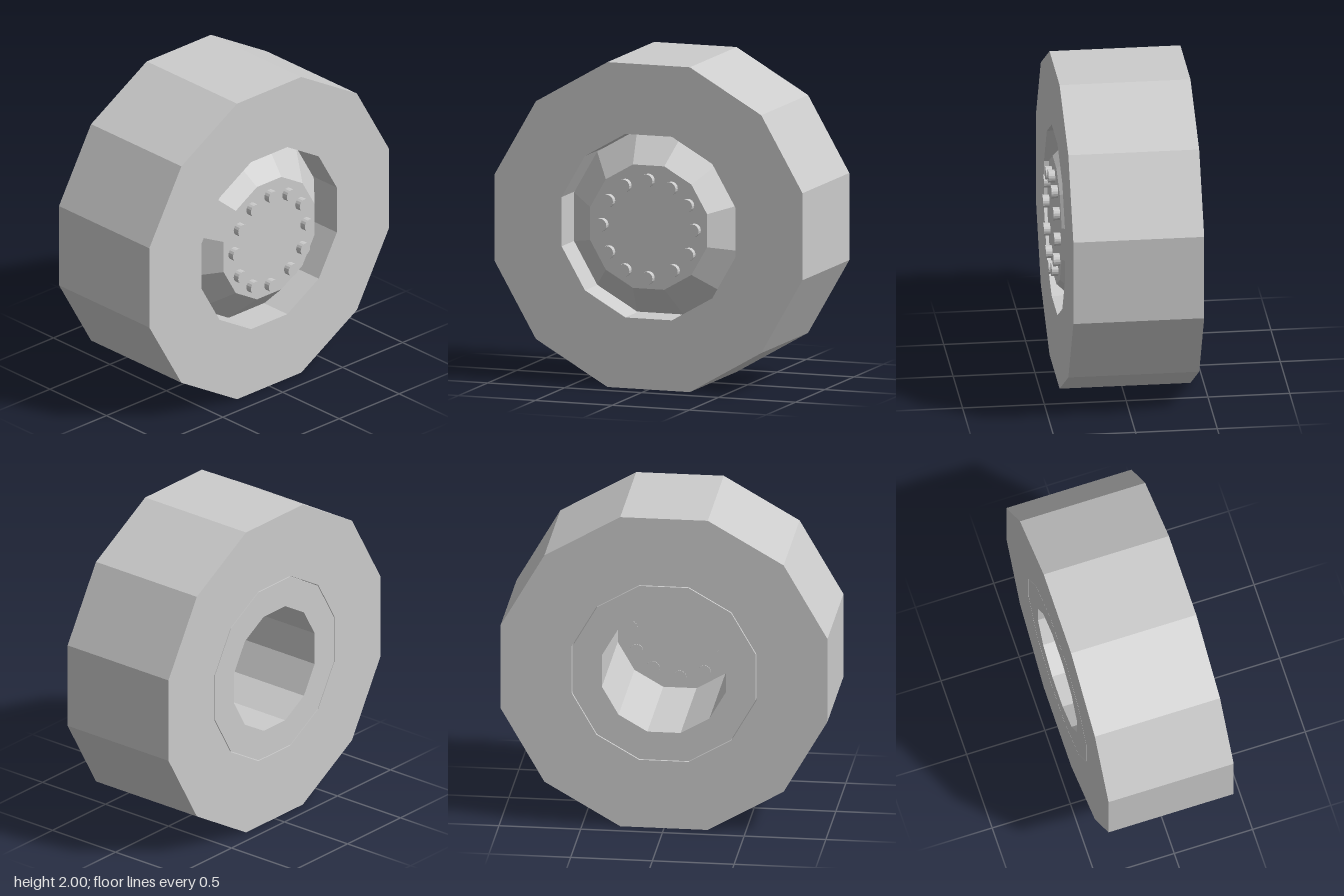
import * as THREE from 'three';

const SIDES = 12;
const FRONT = 0.38, BACK = -0.42;

const material = new THREE.MeshStandardMaterial({ color: 0xcccccc, flatShading: true });

// Twelve-sided ring around the x axis; points are [distance to flat, x]
function facetedLathe(name, points) {
  const k = 1 / Math.cos(Math.PI / SIDES);
  const profile = points.map(([r, x]) => new THREE.Vector2(r * k, x));
  const geometry = new THREE.LatheGeometry(profile, SIDES, Math.PI / SIDES);
  geometry.rotateZ(-Math.PI / 2);
  const mesh = new THREE.Mesh(geometry, material);
  mesh.name = name;
  return mesh;
}

export function createModel() {
  const wheel = new THREE.Group();
  wheel.name = 'wheel';
  wheel.position.y = 1;

  // Tire with a straight bore
  wheel.add(facetedLathe('tire', [
    [0.565, FRONT], [0.565, BACK], [1, BACK], [1, FRONT], [0.565, FRONT],
  ]));

  // Rim: hollow from the back, tapering to a flat hub face at the front
  wheel.add(facetedLathe('rim', [
    [0, FRONT - 0.005], [0.38, FRONT - 0.005], [0.38, BACK], [0.56, BACK],
    [0.56, 0.18], [0.38, FRONT], [0, FRONT],
  ]));

  // Wheel bolts, slightly unevenly placed as [y, z] from the axle
  const bolts = new THREE.Group();
  bolts.name = 'bolts';
  const boltGeometry = new THREE.CylinderGeometry(0.04, 0.04, 0.05, 16);
  boltGeometry.rotateZ(-Math.PI / 2);
  const places = [
    [0.29, 0], [0.25, 0.15], [0.15, 0.256], [0, 0.3], [-0.166, 0.256], [-0.27, 0.15],
    [-0.31, 0], [-0.257, -0.164], [-0.15, -0.265], [0, -0.3], [0.15, -0.257], [0.25, -0.15],
  ];
  for (const [y, z] of places) {
    const bolt = new THREE.Mesh(boltGeometry, material);
    bolt.name = 'bolt';
    bolt.position.set(FRONT + 0.015, y, z);
    bolts.add(bolt);
  }
  wheel.add(bolts);

  const model = new THREE.Group();
  model.name = 'truckWheel';
  model.add(wheel);
  return model;
}
